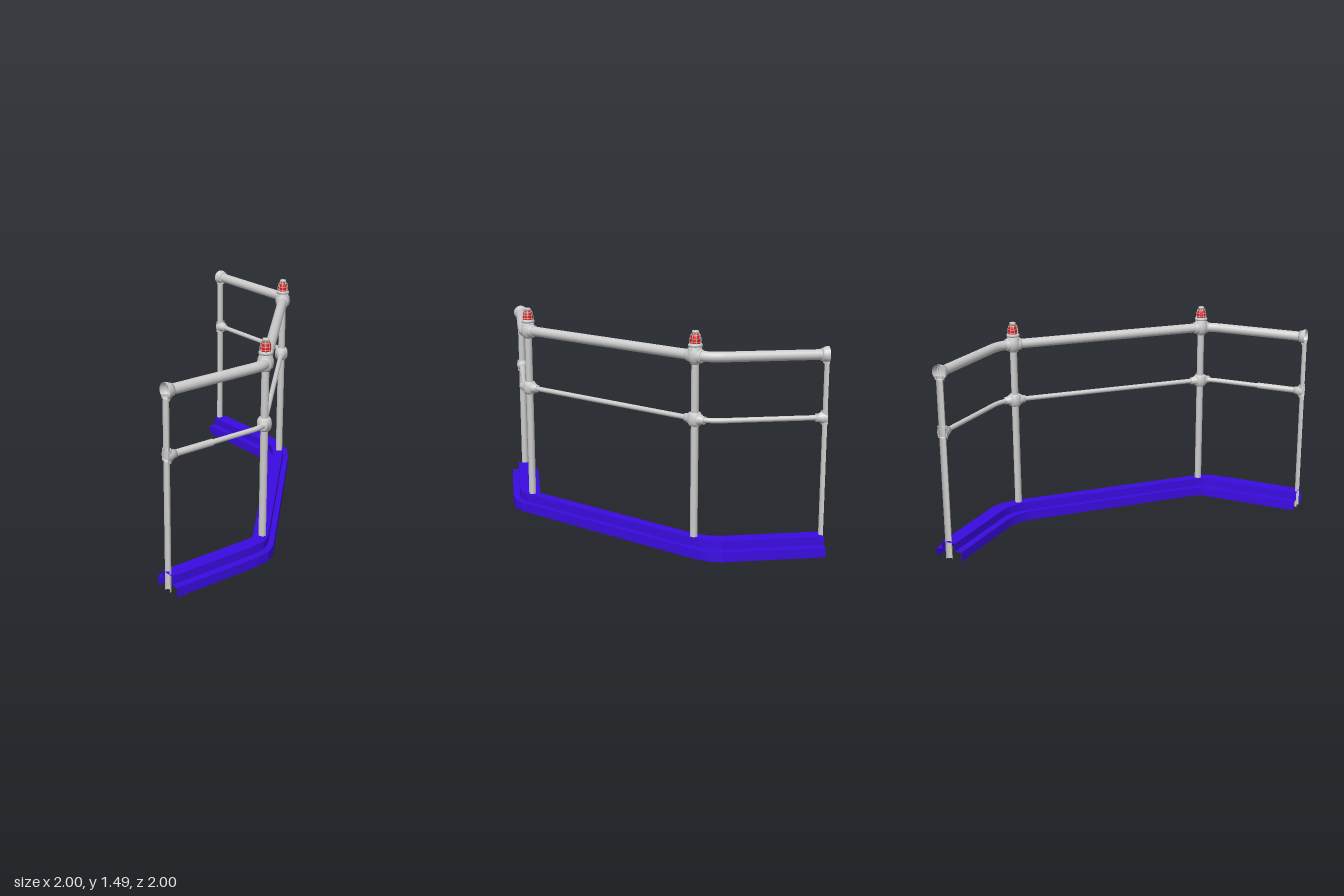
import * as THREE from 'three';

const mat = (color) => new THREE.MeshStandardMaterial({ color, side: THREE.DoubleSide });
const grey = mat(0xcccccc), blue = mat(0x3a0be0), red = mat(0xdd1515);
const V = (x, y, z) => new THREE.Vector3(x, y, z);
const UP = V(0, 1, 0);
const RAIL_Y = 1.325, MID_Y = 0.915;

function add(parent, name, geometry, material = grey) {
  const mesh = new THREE.Mesh(geometry, material);
  mesh.name = name;
  parent.add(mesh);
  return mesh;
}

// Turned part whose axis runs from a point along a direction; profile is [radius, distance]
function turned(parent, name, profile, at, dir = UP, material = grey) {
  const geo = new THREE.LatheGeometry(profile.map(([r, d]) => new THREE.Vector2(r, d)), 24);
  const mesh = add(parent, name, geo, material);
  mesh.position.copy(at);
  mesh.quaternion.setFromUnitVectors(UP, dir);
  return mesh;
}

// Plan line followed by both rails, bending at the two middle posts
function railPath(y) {
  const path = new THREE.CurvePath();
  const p = [[-0.96, -0.9], [-0.34, -0.9], [-0.23, -0.9], [-0.16, -0.83],
    [0.86, 0.2], [0.9, 0.24], [0.9, 0.34], [0.9, 0.96]].map(([x, z]) => V(x, y, z));
  path.add(new THREE.LineCurve3(p[0], p[1]));
  path.add(new THREE.QuadraticBezierCurve3(p[1], p[2], p[3]));
  path.add(new THREE.LineCurve3(p[3], p[4]));
  path.add(new THREE.QuadraticBezierCurve3(p[4], p[5], p[6]));
  path.add(new THREE.LineCurve3(p[6], p[7]));
  return path;
}

// Hollow hat-shaped kerb: one profile stretched between outer and inner plan lines
function kerbGeometry() {
  const outer = [[-1, -1], [-0.32, -1], [-0.24, -0.98], [-0.18, -0.94], [-0.1, -0.87],
    [0.94, 0.17], [0.985, 0.25], [1, 0.36], [1, 1]];
  const inner = [[-1, -0.8], [-0.34, -0.8], [-0.29, -0.79], [-0.24, -0.77], [-0.185, -0.74],
    [0.77, 0.21], [0.8, 0.25], [0.8, 0.36], [0.8, 1]];
  const profile = [[0, 0], [0, 0.067], [0.25, 0.067], [0.25, 0.125],
    [0.75, 0.125], [0.75, 0.067], [1, 0.067], [1, 0]];
  const point = (i, [u, y]) => [
    THREE.MathUtils.lerp(outer[i][0], inner[i][0], u), y,
    THREE.MathUtils.lerp(outer[i][1], inner[i][1], u)];
  const pos = [];
  for (let i = 0; i < outer.length - 1; i++) {
    for (let j = 0; j < profile.length - 1; j++) {
      const a = point(i, profile[j]), b = point(i, profile[j + 1]);
      const c = point(i + 1, profile[j + 1]), d = point(i + 1, profile[j]);
      pos.push(...a, ...b, ...c, ...a, ...c, ...d);
    }
  }
  const geo = new THREE.BufferGeometry();
  geo.setAttribute('position', new THREE.Float32BufferAttribute(pos, 3));
  geo.computeVertexNormals();
  return geo;
}

// Warning lamp: base, red dome, wire cage and cap
function createLamp() {
  const lamp = new THREE.Group();
  lamp.name = 'warningLamp';
  turned(lamp, 'lampBase', [[0, 0], [0.046, 0], [0.046, 0.012], [0.04, 0.02], [0, 0.02]], V(0, 0, 0));
  turned(lamp, 'lampDome', [[0.034, 0.02], [0.033, 0.05], [0.027, 0.075], [0.015, 0.09], [0, 0.093]],
    V(0, 0, 0), UP, red);
  turned(lamp, 'lampCap', [[0, 0.083], [0.023, 0.083], [0.021, 0.1], [0, 0.102]], V(0, 0, 0));
  for (const [r, y] of [[0.037, 0.03], [0.036, 0.052], [0.029, 0.075]]) {
    const ring = add(lamp, 'cageRing', new THREE.TorusGeometry(r, 0.002, 6, 24));
    ring.rotation.x = Math.PI / 2;
    ring.position.y = y;
  }
  const wire = new THREE.CatmullRomCurve3(
    [V(0.037, 0.018, 0), V(0.036, 0.05, 0), V(0.03, 0.074, 0), V(0.019, 0.09, 0)]);
  for (let i = 0; i < 8; i++) {
    const bar = add(lamp, 'cageBar', new THREE.TubeGeometry(wire, 8, 0.002, 6));
    bar.rotation.y = i * Math.PI / 4;
  }
  return lamp;
}

export function createModel() {
  const model = new THREE.Group();
  model.name = 'guardRail';

  add(model, 'kerb', kerbGeometry(), blue);

  // Rails
  add(model, 'topRail', new THREE.TubeGeometry(railPath(RAIL_Y), 120, 0.034, 20));
  add(model, 'middleRail', new THREE.TubeGeometry(railPath(MID_Y), 120, 0.017, 16));
  turned(model, 'railSleeve', [[0.017, 0], [0.022, 0], [0.022, 0.32], [0.017, 0.32]],
    V(0.9, MID_Y, 0.97), V(0, 0, -1));

  // Middle posts with their fittings and lamps
  const diagonal = V(1, 0, 1).normalize();
  for (const [x, z] of [[-0.16, -0.83], [0.86, 0.2]]) {
    const post = new THREE.Group();
    post.name = 'middlePost';
    post.position.set(x, 0, z);
    model.add(post);
    turned(post, 'post', [[0, 0], [0.025, 0], [0.025, RAIL_Y]], V(0, 0, 0));
    turned(post, 'topFitting', [[0.025, -0.055], [0.034, -0.052], [0.036, -0.04], [0.048, -0.03], [0.054, 0],
      [0.05, 0.03], [0.042, 0.045], [0.042, 0.06], [0, 0.06]], V(0, RAIL_Y, 0));
    turned(post, 'middleFitting', [[0.025, -0.043], [0.036, -0.043], [0.046, -0.025], [0.048, 0],
      [0.046, 0.025], [0.036, 0.043], [0.025, 0.043]], V(0, MID_Y, 0));
    for (const side of [-1, 1]) {
      const dir = diagonal.clone().multiplyScalar(side);
      turned(post, 'topSocket', [[0.047, 0], [0.045, 0.04], [0.041, 0.055], [0.033, 0.055]],
        V(0, RAIL_Y, 0), dir);
      turned(post, 'middleSocket', [[0.038, 0], [0.036, 0.045], [0.027, 0.055], [0.027, 0.075], [0.016, 0.075]],
        V(0, MID_Y, 0), dir);
    }
    const lamp = createLamp();
    lamp.position.y = 1.383;
    post.add(lamp);
  }

  // End posts and fittings, sliced in half at the joining planes
  const ends = [
    { at: [-1, -0.9], dir: V(1, 0, 0), theta: 0 },
    { at: [0.9, 1], dir: V(0, 0, -1), theta: Math.PI / 2 },
  ];
  for (const { at, dir, theta } of ends) {
    const end = new THREE.Group();
    end.name = 'endPost';
    end.position.set(at[0], 0, at[1]);
    model.add(end);
    const half = (name, r, y0, y1) => {
      const geo = new THREE.CylinderGeometry(r, r, y1 - y0, 16, 1, true, theta, Math.PI);
      add(end, name, geo).position.y = (y0 + y1) / 2;
    };
    half('post', 0.025, 0, RAIL_Y - 0.03);
    half('topCollar', 0.034, RAIL_Y - 0.055, RAIL_Y - 0.03);
    half('middleCollar', 0.036, MID_Y - 0.043, MID_Y + 0.043);
    turned(end, 'topEndFitting', [[0.053, 0], [0.051, 0.02], [0.043, 0.035], [0.041, 0.048], [0, 0.048]],
      V(0, RAIL_Y, 0), dir);
    turned(end, 'middleEndFitting', [[0.042, 0], [0.039, 0.035], [0.028, 0.048], [0.027, 0.07], [0, 0.07]],
      V(0, MID_Y, 0), dir);
  }
  return model;
}
